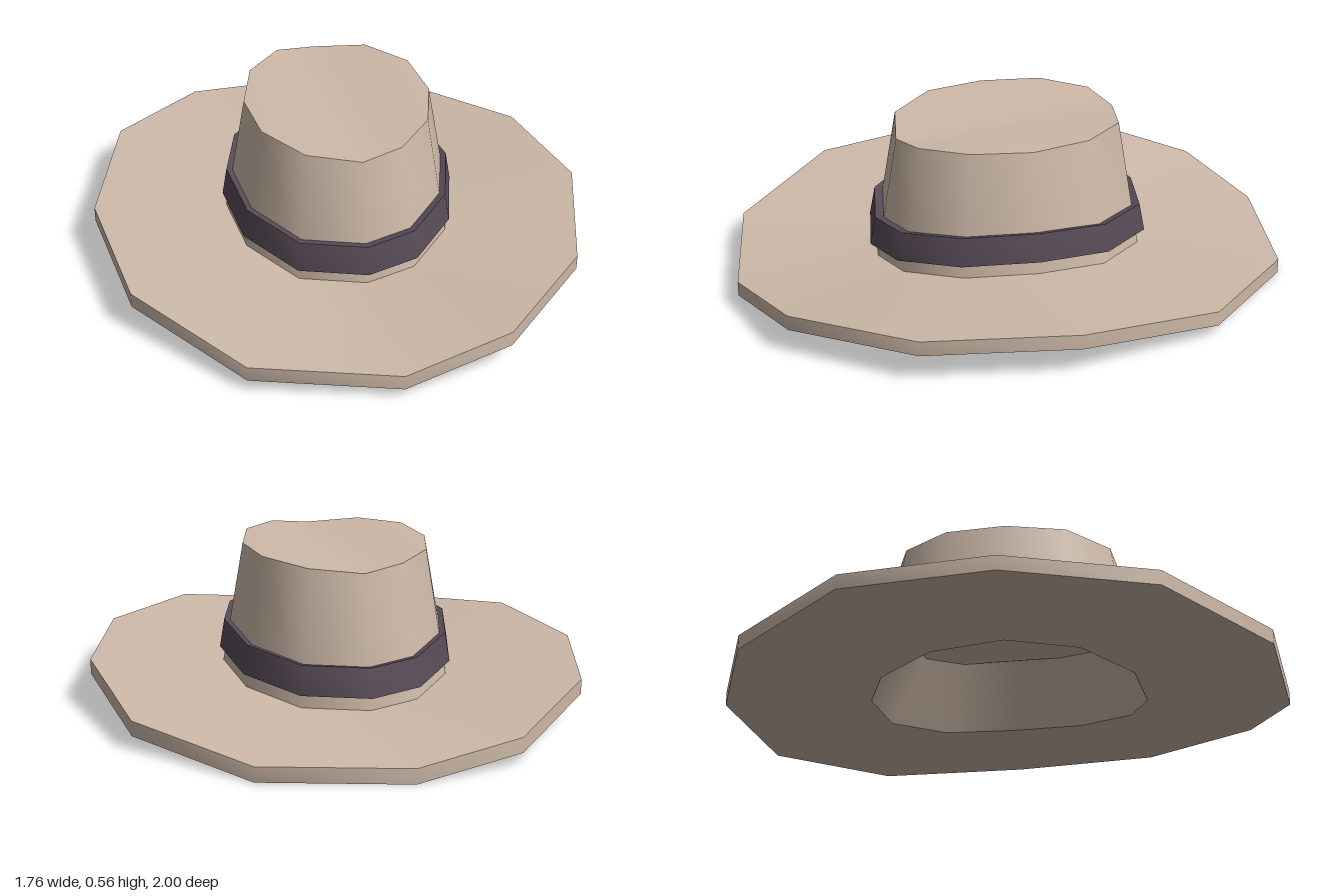
import * as THREE from 'three';
import { toCreasedNormals } from 'three/addons/utils/BufferGeometryUtils.js';

// Twelve-sided oval, from the left side (+x) round through the front (+z)
const OVAL = [[1, 0], [0.875, 0.52], [0.525, 0.89], [0.1, 1], [-0.47, 0.9], [-0.875, 0.52]];
OVAL.push(...OVAL.map(([x, z]) => [-x, -z]));
const N = OVAL.length;

// Heights round the oval: wavy brim edge, crown base and dipped crown top
const EDGE = [0.16, 0.16, 0.145, 0.09, 0.1, 0.15, 0.16, 0.16, 0.097, 0.055, 0.057, 0.1];
const BASE = [0.135, 0.13, 0.11, 0.095, 0.1, 0.125, 0.135, 0.12, 0.092, 0.078, 0.085, 0.11];
const TOP = [0.563, 0.565, 0.557, 0.537, 0.555, 0.565, 0.563, 0.565, 0.557, 0.537, 0.553, 0.563];

const ring = (rx, rz, heights, dy = 0) =>
  OVAL.map(([x, z], i) => new THREE.Vector3(x * rx, heights[i] + dy, z * rz));

function quad(out, a, b, c, d) {
  for (const t of [[a, b, c], [a, c, d]]) {
    if (t[0] !== t[1] && t[1] !== t[2] && t[0] !== t[2]) t.forEach(p => out.push(p));
  }
}

// Join successive rings with bands of faces
function loft(rings) {
  const out = [];
  for (let r = 0; r < rings.length - 1; r++) {
    const a = rings[r], b = rings[r + 1];
    for (let i = 0; i < N; i++) {
      const j = (i + 1) % N;
      quad(out, a[i], b[i], b[j], a[j]);
    }
  }
  return out;
}

// Close a ring with strips running front to back
function cap(r, up) {
  const out = [];
  for (let k = 0; k < N / 2; k++) {
    const q = [r[k], r[(N - k) % N], r[N - k - 1], r[k + 1]];
    quad(out, ...(up ? q : q.reverse()));
  }
  return out;
}

function createModel() {
  const felt = new THREE.MeshStandardMaterial({ color: 0xcdb9a8 });
  felt.name = 'tan felt';
  const ribbon = new THREE.MeshStandardMaterial({ color: 0x584b57 });
  ribbon.name = 'dark ribbon';

  const hat = new THREE.Group();
  hat.name = 'hat';
  const add = (name, points, material) => {
    const geo = toCreasedNormals(new THREE.BufferGeometry().setFromPoints(points), 0.75);
    const mesh = new THREE.Mesh(geo, material);
    mesh.name = name;
    hat.add(mesh);
  };

  // Brim: underside, rim and upper face
  const hole = ring(0.405, 0.49, BASE, -0.05);
  const base = ring(0.405, 0.49, BASE);
  add('brim', loft([hole, ring(0.88, 1, EDGE, -0.053), ring(0.88, 1, EDGE), base]), felt);

  // Crown: tapered wall and creased top
  const top = ring(0.33, 0.41, TOP);
  add('crown', [...loft([base, top]), ...cap(top, true)], felt);

  // Hollow inside the crown
  const ceiling = ring(0.28, 0.35, BASE, 0.18);
  add('crownHollow', [...loft([ceiling, hole]), ...cap(ceiling, false)], felt);

  // Hat band, standing slightly proud of the crown
  add('hatBand', loft([
    ring(0.385, 0.47, BASE, 0.055),
    ring(0.417, 0.515, BASE, 0.05),
    ring(0.4, 0.495, BASE, 0.152),
    ring(0.37, 0.455, BASE, 0.145),
  ]), ribbon);

  return hat;
}

export { createModel };
